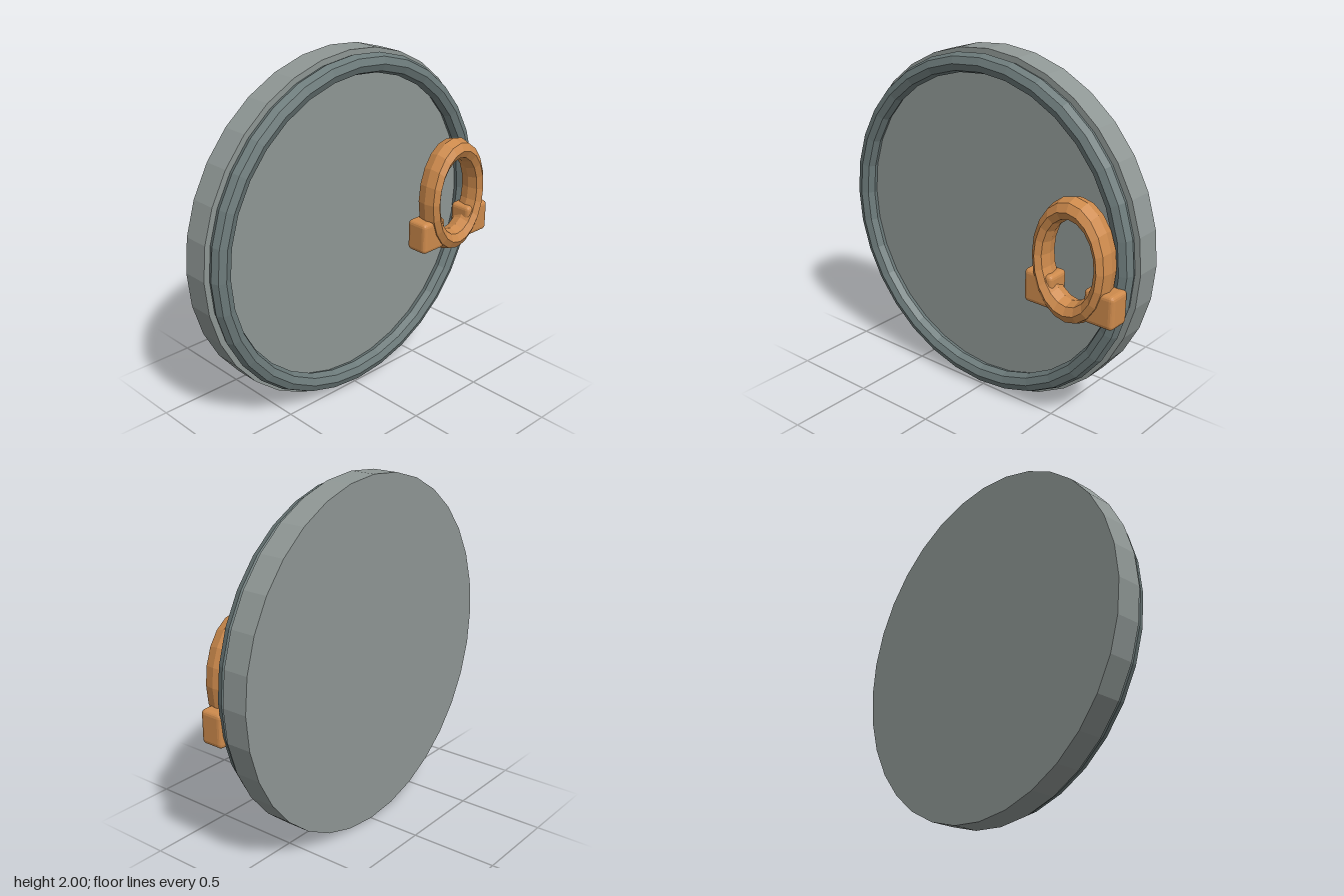
import * as THREE from 'three';
import { RoundedBoxGeometry } from 'three/addons/geometries/RoundedBoxGeometry.js';

const material = (color) => new THREE.MeshStandardMaterial({ color, flatShading: true });

export function createModel() {
  const model = new THREE.Group();
  const plateMat = material(0x8f9795);
  const rimMat = material(0x6c7a7a);
  const handleMat = material(0xcd8a4c);

  const add = (name, geometry, mat, x, y, z) => {
    const mesh = new THREE.Mesh(geometry, mat);
    mesh.name = name;
    mesh.position.set(x, y, z);
    model.add(mesh);
    return mesh;
  };

  // Round door plate, lying in the xy plane
  const plate = new THREE.CylinderGeometry(1, 1, 0.15, 32).rotateX(Math.PI / 2);
  add('doorPlate', plate, plateMat, 0, 1, -0.113);

  // Raised rim around the front edge
  add('rim', new THREE.TorusGeometry(0.925, 0.055, 8, 32), rimMat, 0, 1, -0.007);

  // Oval ring pull: a torus stretched upward and forward
  const ring = new THREE.TorusGeometry(0.1925, 0.0425, 8, 20).scale(1, 1.48, 1.9);
  add('ringHandle', ring, handleMat, 0.69, 1.04, 0.107);

  // Rounded brackets holding the ring on either side
  for (const side of [-1, 1]) {
    const bracket = new RoundedBoxGeometry(0.18, 0.19, 0.14, 2, 0.025);
    add(side < 0 ? 'rightBracket' : 'leftBracket', bracket, handleMat, 0.69 + side * 0.19, 0.838, 0.088);
  }

  return model;
}
